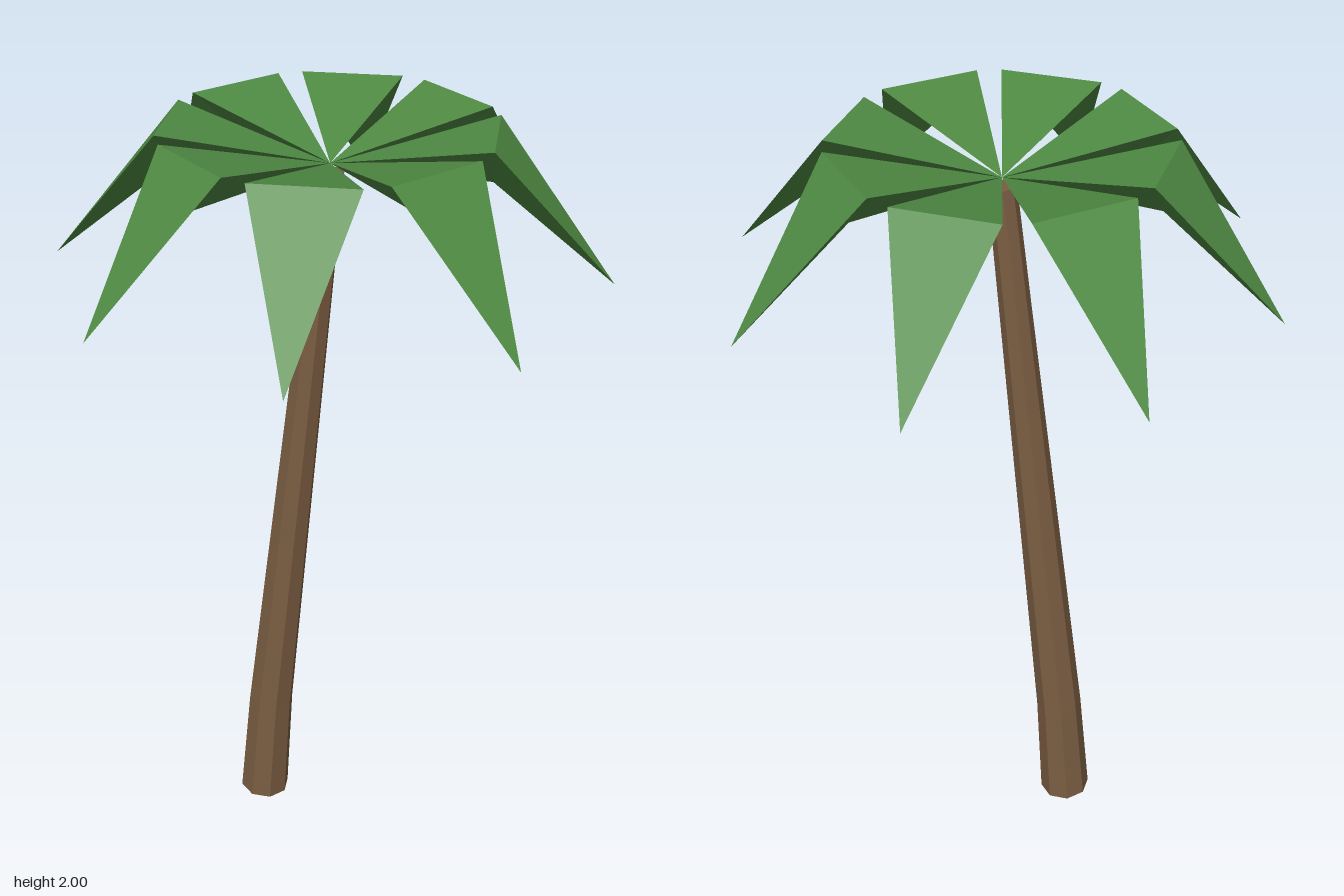
import * as THREE from 'three';

const leafGreen = new THREE.MeshStandardMaterial({ color: 0x4f8a43, flatShading: true });
leafGreen.name = 'leaf green';
const barkBrown = new THREE.MeshStandardMaterial({ color: 0x7a5d42, flatShading: true });
barkBrown.name = 'bark brown';

// Trunk stations: centre x, centre y, radius, lean (dx per dy)
const RINGS = [
  [-0.193, 0.006, 0.068, 0.08],
  [-0.168, 0.33, 0.061, 0.1],
  [-0.033, 1.58, 0.039, 0.106],
  [0, 1.89, 0.034, 0.1],
];

// Eight-sided cylinder whose rings are moved onto the leaning, tapering stations
function trunkGeometry() {
  const spans = RINGS.length - 1;
  const geo = new THREE.CylinderGeometry(1, 1, spans, 8, spans, false, Math.PI / 8);
  const pos = geo.attributes.position;
  for (let i = 0; i < pos.count; i++) {
    const [cx, cy, r, lean] = RINGS[Math.round(pos.getY(i) + spans / 2)];
    const tilt = Math.atan(lean);
    const u = pos.getX(i) * r;
    pos.setXYZ(i, cx + u * Math.cos(tilt), cy - u * Math.sin(tilt), pos.getZ(i) * r);
  }
  geo.computeVertexNormals();
  return geo;
}

// One frond along +x: rising blade, drooping tip and a keel beneath
function frondGeometry() {
  const C = [0, 1.91, 0];
  const L = [0.38, 2, -0.125];
  const R = [0.38, 2, 0.125];
  const T = [0.67, 1.65, 0];
  const K = [0.375, 1.885, 0];
  const faces = [C, R, L, L, R, T, C, K, R, C, L, K, R, K, T, L, T, K];
  const geo = new THREE.BufferGeometry();
  geo.setAttribute('position', new THREE.Float32BufferAttribute(faces.flat(), 3));
  geo.computeVertexNormals();
  return geo;
}

export function createModel() {
  const tree = new THREE.Group();
  tree.name = 'palmTree';

  const trunk = new THREE.Mesh(trunkGeometry(), barkBrown);
  trunk.name = 'trunk';
  tree.add(trunk);

  // Crown of eight equal fronds
  const crown = new THREE.Group();
  crown.name = 'crown';
  const frond = frondGeometry();
  for (let i = 0; i < 8; i++) {
    const leaf = new THREE.Mesh(frond, leafGreen);
    leaf.name = 'frond' + (i + 1);
    leaf.rotation.y = (i * Math.PI) / 4;
    crown.add(leaf);
  }
  tree.add(crown);
  return tree;
}
